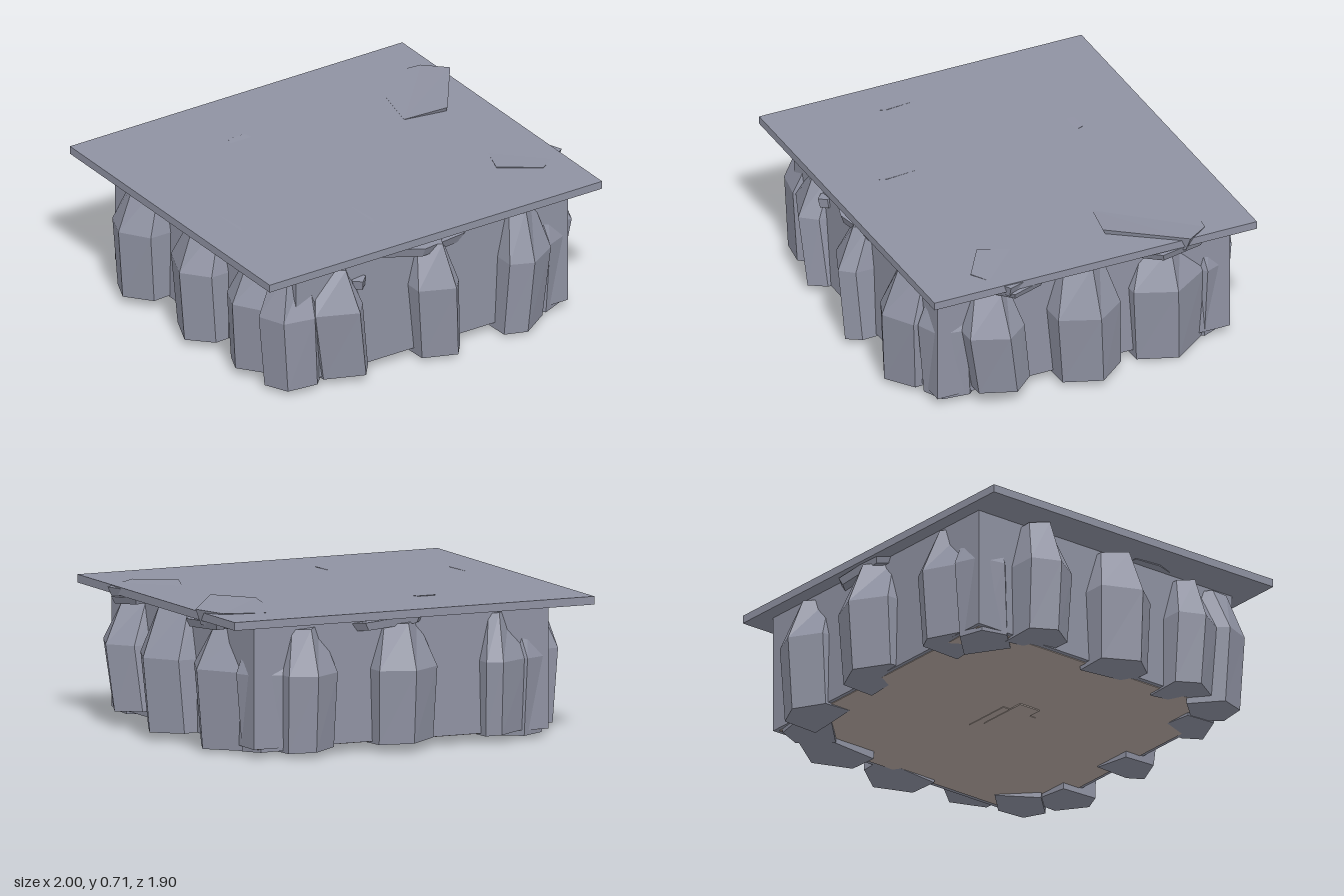
import * as THREE from 'three';

const stone = new THREE.MeshStandardMaterial({ color: 0x8f92a2 });
stone.name = 'grey stone';
const earth = new THREE.MeshStandardMaterial({ color: 0xb6a9a2 });
earth.name = 'brown earth';

// Closed faceted solid through rings of equal length, listed bottom to top,
// each counter-clockwise seen from above.
function loft(name, rings) {
  const pos = [];
  const tri = (a, b, c) => pos.push(...a, ...b, ...c);
  const n = rings[0].length;
  for (let k = 0; k + 1 < rings.length; k++) {
    const lo = rings[k], hi = rings[k + 1];
    for (let i = 0; i < n; i++) {
      const j = (i + 1) % n;
      tri(lo[i], lo[j], hi[j]);
      tri(lo[i], hi[j], hi[i]);
    }
  }
  const bottom = rings[0], top = rings[rings.length - 1];
  for (let i = 1; i + 1 < n; i++) {
    tri(top[0], top[i], top[i + 1]);
    tri(bottom[0], bottom[i + 1], bottom[i]);
  }
  const geo = new THREE.BufferGeometry();
  geo.setAttribute('position', new THREE.Float32BufferAttribute(pos, 3));
  geo.computeVertexNormals();
  const mesh = new THREE.Mesh(geo, stone);
  mesh.name = name;
  return mesh;
}

// Upright ridged rock facing `deg`: centre along the wall, belly width, reach from the
// model's axis, ridge position across the width, sideways lean of the foot, foot and top heights.
function pillar(name, deg, centre, width, reach, ridge, lean, y0, y1) {
  const a = THREE.MathUtils.degToRad(deg), s = Math.sin(a), c = Math.cos(a);
  const depth = width * 0.42, inner = reach - 0.27;
  const ring = (mid, w, out, y, tilt) => {
    const l = mid - w / 2, r = mid + w / 2;
    return [[l, inner], [l, out - depth * ridge], [l + w * ridge, out], [r, out - depth * (1 - ridge * 0.4)], [r, inner]]
      .map(([t, n], i) => [t * c + n * s, y + tilt * (i - 2), -t * s + n * c]);
  };
  return loft(name, [
    ring(centre + lean, width * 0.94, reach - 0.025, y0 + 0.012, 0.006),
    ring(centre, width, reach, 0.4, 0),
    ring(centre + lean * 0.1, width * 0.58, reach - 0.09, y1, 0.005),
  ]);
}

// Unit five-sided flat stone, shared by all the small flat stones
const flatStone = new THREE.CylinderGeometry(1, 0.88, 1, 5).toNonIndexed();
flatStone.computeVertexNormals();

function slabStone(name, x, y, z, halfX, halfZ, thickness, tiltX, tiltZ) {
  const mesh = new THREE.Mesh(flatStone, stone);
  mesh.position.set(x, y, z);
  mesh.scale.set(halfX, thickness, halfZ);
  mesh.rotation.set(tiltX, 0, tiltZ);
  mesh.name = name;
  return mesh;
}

function box(name, x0, x1, y0, y1, z0, z1, material) {
  const mesh = new THREE.Mesh(new THREE.BoxGeometry(x1 - x0, y1 - y0, z1 - z0), material);
  mesh.position.set((x0 + x1) / 2, (y0 + y1) / 2, (z0 + z1) / 2);
  mesh.name = name;
  return mesh;
}

export function createModel() {
  const model = new THREE.Group();
  model.name = 'rockPlatform';

  // Top slab, solid core and earthen underside
  model.add(
    box('topSlab', -1, 0.93, 0.645, 0.685, -0.86, 0.87, stone),
    box('core', -0.79, 0.79, 0.044, 0.65, -0.785, 0.785, stone),
    box('undersideEarth', -0.765, 0.765, 0.04, 0.046, -0.765, 0.765, earth),
    box('undersidePatch', -0.13, 0.13, 0.037, 0.042, -0.1, 0.1, earth),
    box('undersideInset', -0.21, 0.07, 0.034, 0.041, -0.06, 0.06, earth),
  );

  // Three upright rocks on each side
  const rocks = new THREE.Group();
  rocks.name = 'sideRocks';
  const sides = {
    front: [[-0.565, 0.27, 0.905, 0.75, 0.055, 0.025, 0.6], [-0.025, 0.23, 0.95, 0.75, 0.03, 0.01, 0.61],
      [0.515, 0.27, 0.94, 0.42, -0.025, 0.008, 0.65]],
    left: [[-0.51, 0.3, 0.97, 0.6, 0.05, 0.065, 0.6], [-0.025, 0.35, 1, 0.55, 0.025, 0.025, 0.65],
      [0.44, 0.4, 0.93, 0.5, 0.015, 0, 0.6]],
    back: [[-0.5, 0.28, 0.92, 0.47, 0, 0.015, 0.62], [0, 0.33, 0.955, 0.5, 0, 0.03, 0.62],
      [0.545, 0.25, 0.895, 0.3, 0, 0.03, 0.63]],
    right: [[-0.44, 0.28, 1, 0.5, 0, 0.03, 0.64], [0.04, 0.32, 0.99, 0.6, 0.01, 0.02, 0.63],
      [0.5, 0.28, 0.96, 0.45, -0.01, 0.03, 0.62]],
  };
  // One rock across the corner that follows each side: centre, width, reach
  const corners = [[0, 0.24, 1.1], [0, 0.24, 1.09], [0, 0.24, 1.1], [-0.05, 0.27, 1.18]];
  Object.entries(sides).forEach(([side, rows], i) => {
    for (const row of rows) rocks.add(pillar(side + 'Rock', i * 90, ...row));
    rocks.add(pillar('cornerRock', i * 90 + 45, ...corners[i], 0.5, 0.015, 0.012, 0.63));
  });
  model.add(rocks);

  // Large flat stone lying over the slab's edge
  const outline = [[0.49, 0.687, -0.19], [0.71, 0.71, -0.14], [0.96, 0.702, -0.49],
    [0.87, 0.69, -0.61], [0.6, 0.684, -0.65]];
  const underside = outline.map(([x, y, z]) => [0.73 + (x - 0.73) * 0.85, y - 0.08, -0.42 + (z + 0.42) * 0.85]);
  model.add(loft('largeTopStone', [underside, outline]));

  // Small flat stones breaking through the slab or wedged beneath its rim
  model.add(
    slabStone('cornerTopStone', 0.77, 0.654, 0.42, 0.2, 0.18, 0.06, -0.03, -0.03),
    slabStone('smallTopStone', -0.28, 0.663, -0.43, 0.08, 0.08, 0.04, 0.08, 0),
    slabStone('smallTopStone', -0.82, 0.663, 0.25, 0.04, 0.14, 0.04, 0, 0.1),
    slabStone('smallTopStone', -0.24, 0.663, 0.53, 0.04, 0.14, 0.04, 0, 0.1),
    slabStone('frontRimStone', -0.1, 0.605, 0.76, 0.3, 0.11, 0.05, 0.1, -0.13),
    slabStone('frontWedge', -0.43, 0.5, 0.78, 0.04, 0.05, 0.05, 0.1, 0.1),
    slabStone('leftRimStone', 0.84, 0.63, 0.4, 0.12, 0.16, 0.035, 0.06, -0.08),
    slabStone('leftRimStone', 0.83, 0.625, -0.42, 0.12, 0.22, 0.04, 0.03, -0.05),
    slabStone('backRimStone', 0.07, 0.62, -0.76, 0.25, 0.1, 0.04, 0.05, -0.08),
  );
  return model;
}
